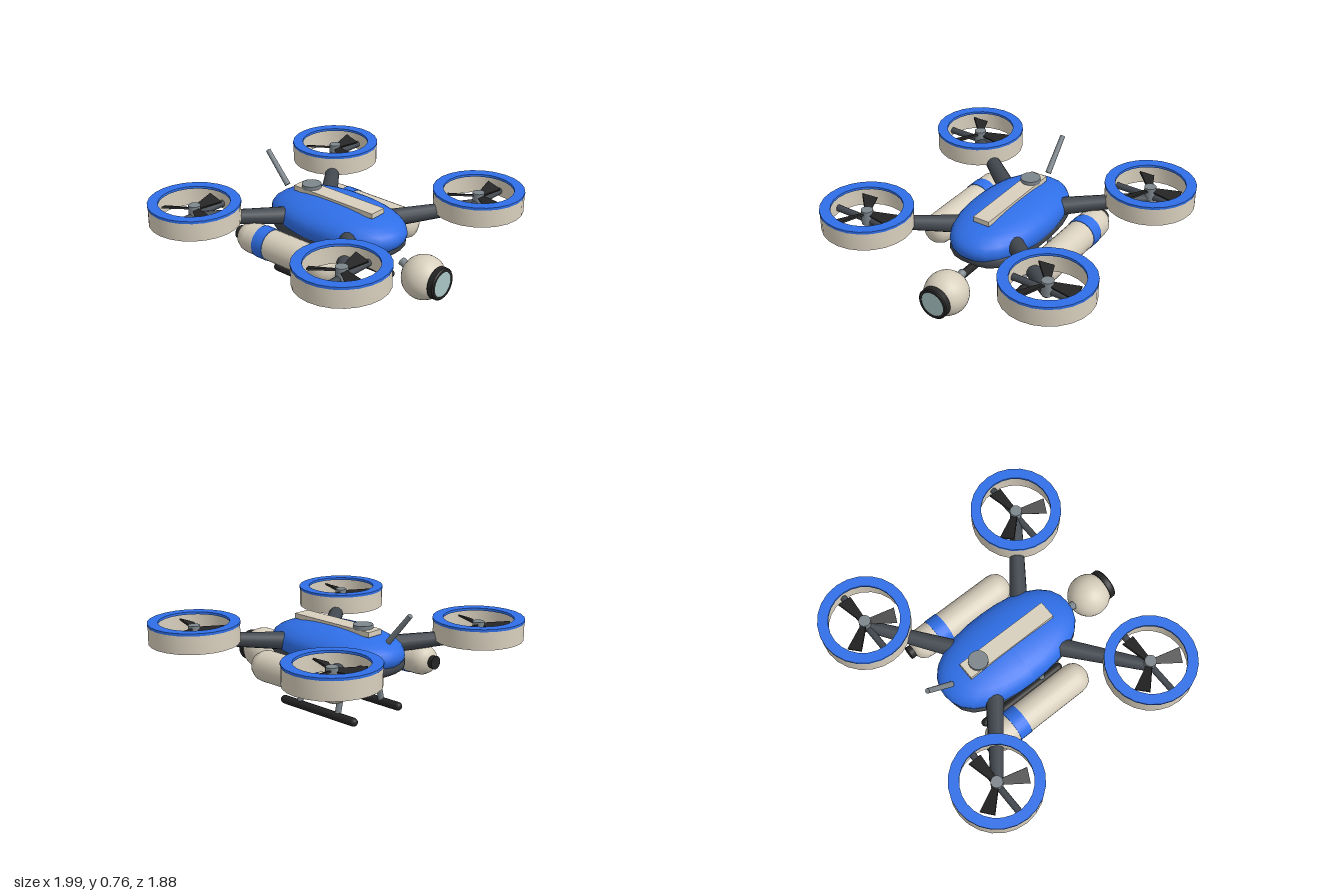
import * as THREE from 'three';
import { toCreasedNormals } from 'three/addons/utils/BufferGeometryUtils.js';

const mat = (color) => new THREE.MeshStandardMaterial({ color });
const BLUE = mat(0x2f6fe8), CREAM = mat(0xd8cfbd), DARK = mat(0x42484f);
const BLACK = mat(0x242424), STEEL = mat(0x7d868c), GLASS = mat(0xaac5c5);
const V = (x, y, z) => new THREE.Vector3(x, y, z);

export function createModel() {
  const model = new THREE.Group();

  const add = (parent, name, geometry, material, x = 0, y = 0, z = 0) => {
    const mesh = new THREE.Mesh(geometry, material);
    mesh.name = name;
    mesh.position.set(x, y, z);
    parent.add(mesh);
    return mesh;
  };

  // Tapered rod between two points
  const rod = (parent, name, a, b, ra, rb, material, sides = 12) => {
    const dir = b.clone().sub(a);
    const mesh = add(parent, name, new THREE.CylinderGeometry(rb, ra, dir.length(), sides), material);
    mesh.position.copy(a).addScaledVector(dir, 0.5);
    mesh.quaternion.setFromUnitVectors(V(0, 1, 0), dir.normalize());
    return mesh;
  };

  const lathe = (pairs, sides, crease = 0.7) => toCreasedNormals(
    new THREE.LatheGeometry(pairs.map(([r, y]) => new THREE.Vector2(r, y)), sides), crease);

  // Closed ring with a rectangular section
  const ring = (inner, outer, y0, y1) =>
    lathe([[inner, y0], [outer, y0], [outer, y1], [inner, y1], [inner, y0]], 24);

  // Ellipsoid with squarer shoulders for larger n
  const pod = (rx, ry, rz, n) => {
    const g = new THREE.SphereGeometry(1, 28, 18);
    const p = g.attributes.position;
    for (let i = 0; i < p.count; i++) {
      const v = V(p.getX(i), p.getY(i), p.getZ(i));
      const d = (Math.abs(v.x) ** n + Math.abs(v.y) ** n + Math.abs(v.z) ** n) ** (1 / n);
      p.setXYZ(i, v.x / d * rx, v.y / d * ry, v.z / d * rz);
    }
    g.computeVertexNormals();
    return g;
  };

  // Fuselage
  add(model, 'hull', pod(0.29, 0.145, 0.52, 2.3), BLUE, 0, 0.43, 0);
  add(model, 'belly', pod(0.275, 0.09, 0.495, 2.9), DARK, 0, 0.365, -0.005);
  add(model, 'spinePlate', new THREE.BoxGeometry(0.12, 0.035, 0.68), CREAM, 0, 0.573, 0);
  add(model, 'sensorDisc', new THREE.CylinderGeometry(0.066, 0.066, 0.03, 20), STEEL, 0, 0.6, -0.235);
  rod(model, 'antenna', V(0, 0.54, -0.455), V(0, 0.745, -0.635), 0.02, 0.017, STEEL, 10);

  // Camera ball hung ahead of the nose
  const camera = new THREE.Group();
  camera.name = 'cameraPod';
  model.add(camera);
  add(camera, 'cameraBall', new THREE.SphereGeometry(0.147, 24, 16), CREAM, 0, 0.25, 0.722);
  rod(camera, 'cameraMount', V(0, 0.303, 0.54), V(0, 0.27, 0.62), 0.028, 0.028, STEEL);
  add(camera, 'lensRing', lathe([[0.084, 0], [0.1, 0], [0.108, 0.008], [0.108, 0.045],
    [0.1, 0.053], [0.084, 0.053], [0.084, 0]], 24), BLACK, 0, 0.25, 0.82).rotation.x = Math.PI / 2;
  add(camera, 'lens', new THREE.CylinderGeometry(0.086, 0.086, 0.04, 24), GLASS, 0, 0.25, 0.85)
    .rotation.x = Math.PI / 2;

  // Blade outline, narrow at the hub and wide at the tip
  const outline = new THREE.Shape();
  outline.moveTo(0.03, -0.02);
  outline.lineTo(0.205, -0.052);
  outline.lineTo(0.205, 0.052);
  outline.lineTo(0.03, 0.02);
  const bladeGeometry = new THREE.ExtrudeGeometry(outline, { depth: 0.012, bevelEnabled: false });
  bladeGeometry.translate(0, 0, -0.006).rotateX(-Math.PI / 2 + 0.35);

  // Four ducted rotors on tapered arms
  for (const sx of [-1, 1]) for (const sz of [-1, 1]) {
    const x = sx * 0.69, z = sz * 0.635;
    rod(model, 'arm', V(sx * 0.17, 0.44, sz * 0.24), V(x, 0.485, z), 0.062, 0.04, DARK);

    const rotor = new THREE.Group();
    rotor.name = 'rotor';
    rotor.position.set(x, 0, z);
    model.add(rotor);
    add(rotor, 'duct', ring(0.25, 0.302, 0.462, 0.587), CREAM);
    add(rotor, 'ductRim', ring(0.235, 0.305, 0.585, 0.602), BLUE);
    rod(rotor, 'crossBar', V(-0.26, 0.5, 0), V(0.26, 0.5, 0), 0.023, 0.023, DARK, 10);
    add(rotor, 'hub', new THREE.CylinderGeometry(0.04, 0.04, 0.1, 16), STEEL, 0, 0.525, 0);
    for (let i = 0; i < 3; i++) {
      add(rotor, 'blade', bladeGeometry, BLACK, 0, 0.55, 0).rotation.y = 0.08 + i * Math.PI * 2 / 3;
    }
  }

  // Side tanks and landing skids
  const tankGeometry = lathe([[0, -0.48], [0.045, -0.472], [0.08, -0.452], [0.1, -0.415], [0.105, -0.38],
    [0.105, 0.23], [0.1, 0.265], [0.08, 0.302], [0.045, 0.322], [0, 0.328]], 20, 0.9);
  for (const s of [-1, 1]) {
    const tank = new THREE.Group();
    tank.name = 'tank';
    tank.position.set(s * 0.413, 0.32, 0);
    tank.rotation.x = Math.PI / 2;
    model.add(tank);
    add(tank, 'tankShell', tankGeometry, CREAM);
    add(tank, 'tankBand', new THREE.CylinderGeometry(0.109, 0.109, 0.09, 20), BLUE, 0, -0.252, 0);
    add(tank, 'tankNozzle', new THREE.CylinderGeometry(0.04, 0.046, 0.06, 14), BLACK, 0, -0.477, 0);

    const skid = new THREE.CapsuleGeometry(0.029, 0.637, 4, 12);
    add(model, 'skid', skid, BLACK, s * 0.213, 0.029, -0.037).rotation.x = Math.PI / 2;
    for (const z of [0.14, -0.21]) {
      rod(model, 'skidStrut', V(s * 0.143, 0.33, z), V(s * 0.21, 0.035, z), 0.021, 0.021, STEEL);
    }
  }
  return model;
}
